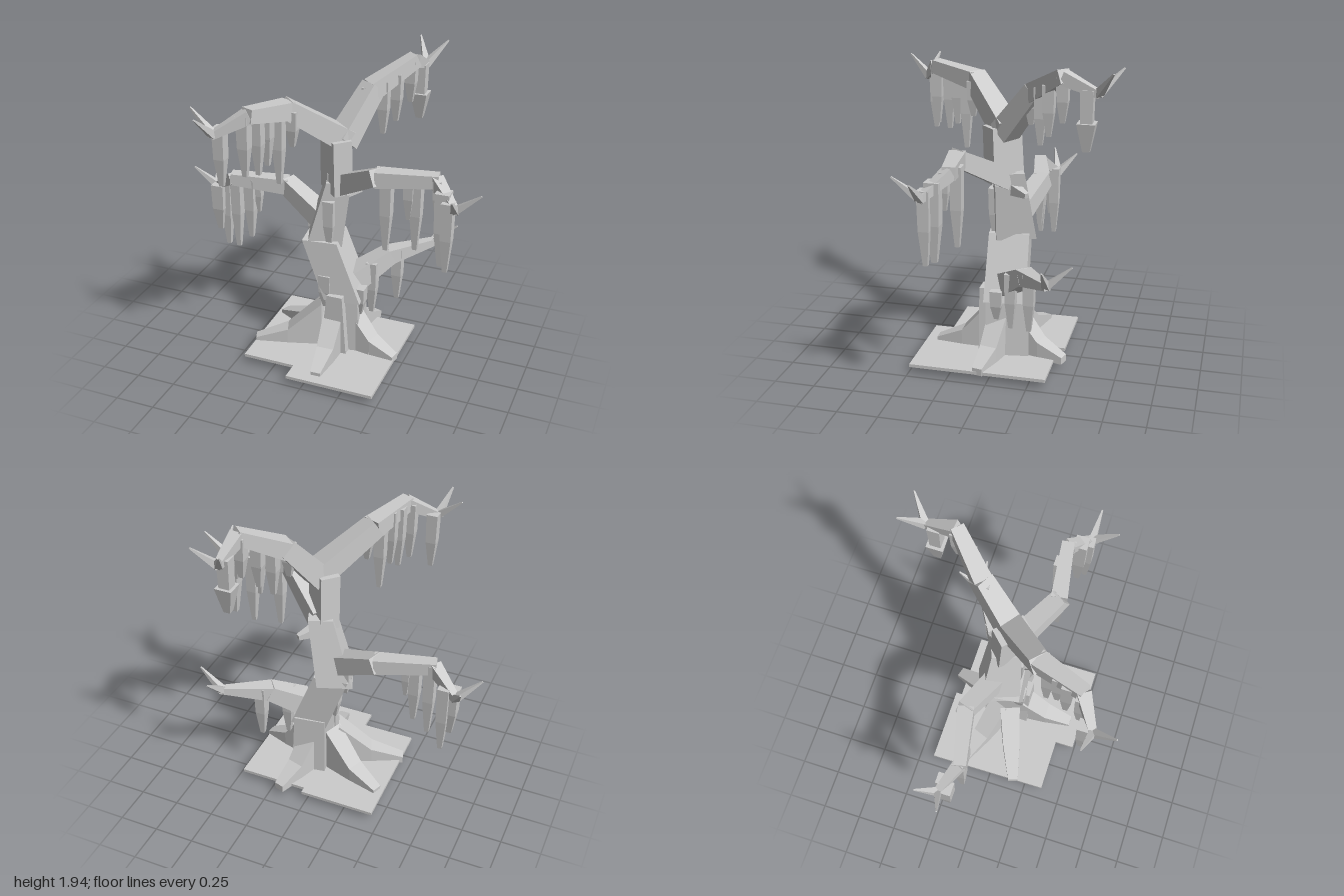
import * as THREE from 'three';

const V = (a) => new THREE.Vector3(...a);
const Y = new THREE.Vector3(0, 1, 0);

export function createModel() {
  const group = new THREE.Group();
  const wood = new THREE.MeshStandardMaterial({ color: 0xcccccc, flatShading: true });
  wood.name = 'pale grey';

  function add(name, geometry, parent = group) {
    const mesh = new THREE.Mesh(geometry, wood);
    mesh.name = name;
    parent.add(mesh);
    return mesh;
  }

  // Tapered four-sided beam from p to q; s0 and s1 are [width, height] at its ends
  function beam(name, p, q, s0, s1, parent, side, up) {
    const a = V(p), b = V(q), dir = b.clone().sub(a).normalize();
    side = side || Y.clone().cross(dir).normalize();
    up = up || side.clone().cross(dir).normalize();
    const g = new THREE.BoxGeometry(1, 1, 1), pos = g.attributes.position;
    for (let i = 0; i < pos.count; i++) {
      const t = pos.getY(i) + 0.5;
      const v = a.clone().lerp(b, t)
        .addScaledVector(side, pos.getX(i) * THREE.MathUtils.lerp(s0[0], s1[0], t))
        .addScaledVector(up, pos.getZ(i) * THREE.MathUtils.lerp(s0[1], s1[1], t));
      pos.setXYZ(i, v.x, v.y, v.z);
    }
    g.computeVertexNormals();
    return add(name, g, parent);
  }

  // Thin stepped ground slab
  const plan = [[-0.45, -0.4], [0.03, -0.4], [0.03, -0.36], [0.465, -0.36],
    [0.465, 0.49], [-0.1, 0.49], [-0.1, 0.37], [-0.44, 0.37]];
  const slab = new THREE.ExtrudeGeometry(
    new THREE.Shape(plan.map(([x, z]) => new THREE.Vector2(x, -z))),
    { depth: 0.02, bevelEnabled: false });
  slab.rotateX(-Math.PI / 2);
  slab.translate(0, 0.045, 0);
  add('groundSlab', slab);

  // Crooked trunk, each section turned by its own yaw: start, end, start size, end size, yaw
  const sections = [
    [[0.1, 0.05, -0.05], [0.09, 0.47, -0.045], [0.22, 0.27], [0.2, 0.26], 0.15],
    [[0.1, 0.42, -0.035], [-0.05, 0.82, -0.03], [0.23, 0.26], [0.22, 0.25], 0.12],
    [[-0.055, 0.78, -0.05], [0.045, 1.22, -0.035], [0.22, 0.25], [0.15, 0.18], 0.35],
    [[0.04, 1.15, -0.01], [0.04, 1.5, 0.005], [0.12, 0.21], [0.12, 0.2], Math.PI / 4],
  ];
  for (const [p, q, s0, s1, yaw] of sections) {
    const side = V([Math.cos(yaw), 0, -Math.sin(yaw)]);
    const up = V([Math.sin(yaw), 0, Math.cos(yaw)]);
    beam('trunkSection', p, q, s0, s1, group, side, up);
  }
  const X = V([1, 0, 0]), Z = V([0, 0, 1]);
  // Front buttress, and the foot poking through the slab
  beam('buttress', [0.07, 0.05, 0.06], [0.08, 0.47, 0.08], [0.18, 0.14], [0.1, 0.1], group, X, Z);
  beam('trunkFoot', [0.19, 0, -0.06], [0.09, 0.06, -0.05], [0.05, 0.3], [0.26, 0.3], group, X, Z);

  // Flared roots, by tip position
  for (const [x, z] of [[-0.45, 0.17], [0.07, 0.42], [0.465, 0.06], [0.18, -0.42], [-0.41, -0.2]]) {
    const root = new THREE.Group();
    root.name = 'root';
    group.add(root);
    const c = [0.06, -0.02];
    const at = (t, y) => [c[0] + (x - c[0]) * t, y, c[1] + (z - c[1]) * t];
    const side = V([z - c[1], 0, -(x - c[0])]).normalize();
    const dir = V([x - c[0], 0, z - c[1]]).normalize();
    const up = side.clone().cross(dir);
    beam('rootBase', at(0.22, 0.21), at(0.62, 0.105), [0.13, 0.3], [0.11, 0.11], root, side, up);
    beam('rootTip', at(0.6, 0.108), at(1, 0.065), [0.11, 0.115], [0.065, 0.045], root, side, up);
  }

  // Branches: joint path, widths at the joints and two twig tips
  const branches = [
    { name: 'upperFrontBranch', path: [[0.08, 1.48, -0.03], [-0.17, 1.72, 0.22], [-0.28, 1.77, 0.5], [-0.45, 1.67, 0.61]],
      sizes: [0.14, 0.11, 0.08, 0.04], twigs: [[-0.6, 1.8, 0.58], [-0.49, 1.8, 0.745]] },
    { name: 'upperBackBranch', path: [[0.07, 1.47, -0.02], [0.18, 1.74, -0.22], [0.37, 1.88, -0.42], [0.39, 1.8, -0.62]],
      sizes: [0.14, 0.11, 0.08, 0.04], twigs: [[0.31, 1.935, -0.75], [0.5, 1.935, -0.715]] },
    { name: 'middleLeftBranch', path: [[0.06, 1.18, -0.02], [0.36, 1.37, 0.19], [0.7, 1.39, 0.14], [0.85, 1.28, 0.26]],
      sizes: [0.13, 0.1, 0.075, 0.04], twigs: [[1, 1.4, 0.27], [0.87, 1.4, 0.415]] },
    { name: 'middleRightBranch', path: [[-0.02, 0.88, -0.05], [-0.35, 1.045, -0.16], [-0.69, 1.07, -0.08], [-0.86, 0.95, -0.17]],
      sizes: [0.13, 0.1, 0.075, 0.04], twigs: [[-1, 1.08, -0.12], [-0.92, 1.075, -0.29]] },
    { name: 'lowerBackBranch', path: [[0.15, 0.53, -0.07], [0.32, 0.655, -0.2], [0.57, 0.715, -0.38]],
      sizes: [0.14, 0.1, 0.04], twigs: [[0.71, 0.85, -0.38], [0.58, 0.85, -0.53]] },
  ];
  for (const { name, path, sizes, twigs } of branches) {
    const branch = new THREE.Group();
    branch.name = name;
    group.add(branch);
    for (let i = 0; i < path.length - 1; i++) {
      // Each limb overruns its joint slightly
      const end = V(path[i + 1]).lerp(V(path[i]), -0.06).toArray();
      const [a, b] = [sizes[i], sizes[i + 1]];
      beam('limb', path[i], end, [a, a], [b, b], branch);
    }
    for (const tip of twigs) beam('twig', path[path.length - 1], tip, [0.045, 0.045], [0.008, 0.008], branch);
  }

  // Hanging moss: x, top, z, bottom, width and an optional flared barb
  const back = V([0, 0, -1]);
  function moss(x, top, z, bottom, w = 0.07, barb = false) {
    const g = new THREE.Group();
    g.name = 'hangingMoss';
    group.add(g);
    const k = top + (bottom - top) * 0.53;
    const low = w * (barb ? 1.4 : 0.9);
    const tip = w * (barb ? 0.55 : 0.38);
    beam('strand', [x, top, z], [x, k, z], [w, w], [w * 0.9, w * 0.9], g, X, back);
    beam('strandTip', [x, k, z], [x, bottom, z], [low, low], [tip, tip], g, X, back);
  }
  const strands = [
    // upper front branch
    [-0.435, 1.7, 0.56, 1.34], [-0.31, 1.77, 0.51, 1.4], [-0.27, 1.78, 0.42, 1.38],
    [-0.24, 1.78, 0.36, 1.42], [-0.2, 1.75, 0.29, 1.28], [-0.14, 1.72, 0.23, 1.5],
    // upper back branch
    [0.17, 1.76, -0.2, 1.55], [0.24, 1.79, -0.27, 1.45], [0.3, 1.82, -0.33, 1.52],
    [0.36, 1.88, -0.42, 1.62], [0.38, 1.82, -0.56, 1.47, 0.075, true],
    // middle left branch
    [0.425, 1.4, 0.18, 0.91], [0.55, 1.4, 0.15, 1.12, 0.06], [0.59, 1.4, 0.13, 0.92],
    [0.72, 1.4, 0.16, 1.18, 0.05], [0.77, 1.36, 0.21, 0.89, 0.085], [0.81, 1.32, 0.25, 0.88],
    // middle right branch
    [-0.54, 1.08, -0.12, 0.84, 0.05], [-0.59, 1.08, -0.1, 0.66], [-0.68, 1.09, -0.09, 0.58],
    [-0.79, 1, -0.16, 0.54], [-0.83, 0.98, -0.13, 0.66, 0.085],
    // lower back branch
    [0.37, 0.7, -0.24, 0.33], [0.25, 0.64, -0.1, 0.28],
    // trunk
    [0, 0.59, 0.07, 0.36, 0.08], [0.205, 0.5, 0, 0.31, 0.075], [-0.145, 0.95, -0.1, 0.72, 0.07],
    [0.03, 1.27, 0.02, 1.05, 0.06], [0.02, 1.1, 0.055, 0.78, 0.07],
  ];
  for (const s of strands) moss(...s);

  // Broken stubs on the trunk
  const stubs = [[[0.05, 1.12, -0.05], [0.14, 1.1, -0.17]], [[0.06, 1.15, -0.03], [0.14, 1.17, 0.05]]];
  for (const [p, q] of stubs) beam('brokenStub', p, q, [0.08, 0.08], [0.03, 0.03], group);

  return group;
}
